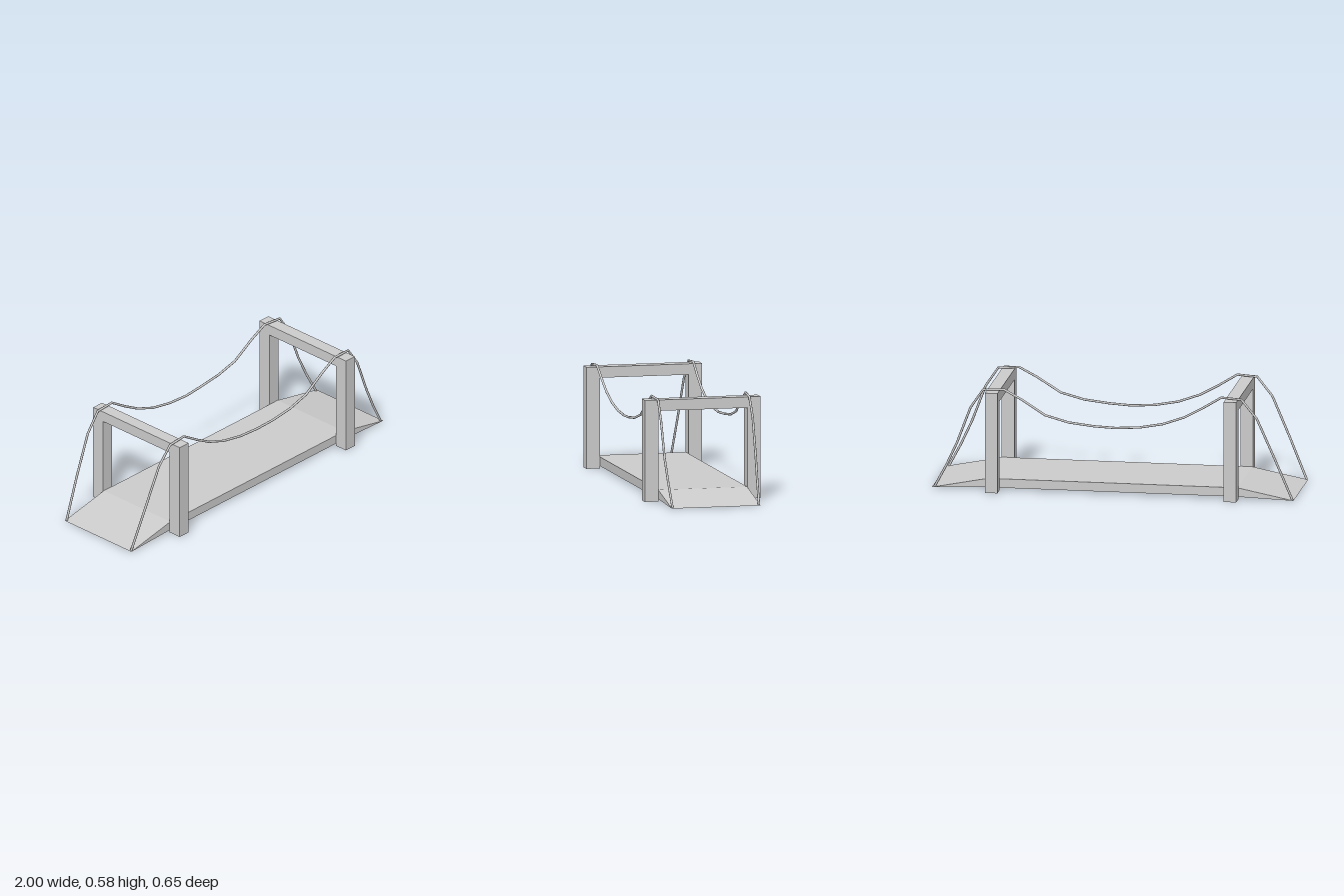
import * as THREE from 'three';

const material = new THREE.MeshStandardMaterial({ color: 0xcccccc, flatShading: true });
const cableMaterial = new THREE.MeshStandardMaterial({ color: 0xcccccc, side: THREE.DoubleSide });

const TOWER_X = 0.66, TOWER_WIDTH = 0.07, HEIGHT = 0.56;
const INNER_Z = 0.25, OUTER_Z = 0.325, BEAM_HEIGHT = 0.06;

// Straight-segment path whose samples land exactly on its corners
class Polyline extends THREE.Curve {
  constructor(points) {
    super();
    this.points = points;
  }
  getPoint(t, target = new THREE.Vector3()) {
    const last = this.points.length - 1;
    const i = Math.min(Math.floor(t * last + 1e-9), last - 1);
    return target.lerpVectors(this.points[i], this.points[i + 1], t * last - i);
  }
  getUtoTmapping(u) {
    return u;
  }
}

function box(name, w, h, d, x, y, z) {
  const mesh = new THREE.Mesh(new THREE.BoxGeometry(w, h, d), material);
  mesh.name = name;
  mesh.position.set(x, y, z);
  return mesh;
}

// Road slab with a ramp tapering to the ground at each end
function createDeck() {
  const profile = new THREE.Shape([
    [-1, 0.003], [-0.69, 0.014], [0.69, 0.014], [1, 0.003], [0.69, 0.064], [-0.69, 0.064],
  ].map(([x, y]) => new THREE.Vector2(x, y)));
  const geometry = new THREE.ExtrudeGeometry(profile, { depth: 2 * INNER_Z, bevelEnabled: false });
  geometry.translate(0, 0, -INNER_Z);
  const deck = new THREE.Mesh(geometry, material);
  deck.name = 'deck';
  return deck;
}

// Two posts joined by a cross beam
function createTower(x) {
  const tower = new THREE.Group();
  tower.name = x < 0 ? 'rightTower' : 'leftTower';
  const depth = OUTER_Z - INNER_Z;
  for (const side of [-1, 1]) {
    tower.add(box(side > 0 ? 'frontPost' : 'backPost', TOWER_WIDTH, HEIGHT, depth,
      x, HEIGHT / 2, side * (INNER_Z + depth / 2)));
  }
  tower.add(box('crossBeam', TOWER_WIDTH, BEAM_HEIGHT, 2 * INNER_Z, x, HEIGHT - BEAM_HEIGHT / 2, 0));
  return tower;
}

// Hanging cable, anchored at the ramp ends and draped over the towers
function createCable(side) {
  const points = [
    [-0.993, 0.006, 0.243], [-0.90, 0.23, 0.257], [-0.80, 0.46, 0.267], [-0.715, 0.565, 0.272],
    [-0.605, 0.573, 0.271], [-0.50, 0.508, 0.269], [-0.40, 0.453, 0.268], [-0.28, 0.41, 0.266],
    [-0.15, 0.386, 0.266], [-0.02, 0.378, 0.266], [0.10, 0.384, 0.27], [0.24, 0.40, 0.27],
    [0.37, 0.435, 0.268], [0.50, 0.517, 0.266], [0.60, 0.57, 0.264], [0.715, 0.564, 0.257],
    [0.785, 0.46, 0.258], [0.86, 0.26, 0.256], [0.92, 0.13, 0.25], [0.986, 0.006, 0.243],
  ].map(([x, y, z]) => new THREE.Vector3(x, y, side * z));
  const geometry = new THREE.TubeGeometry(new Polyline(points), points.length - 1, 0.0065, 8);
  const cable = new THREE.Mesh(geometry, cableMaterial);
  cable.name = side > 0 ? 'frontCable' : 'backCable';
  return cable;
}

export function createModel() {
  const bridge = new THREE.Group();
  bridge.name = 'suspensionBridge';
  bridge.add(createDeck());
  for (const side of [-1, 1]) bridge.add(createTower(side * TOWER_X), createCable(side));
  return bridge;
}
